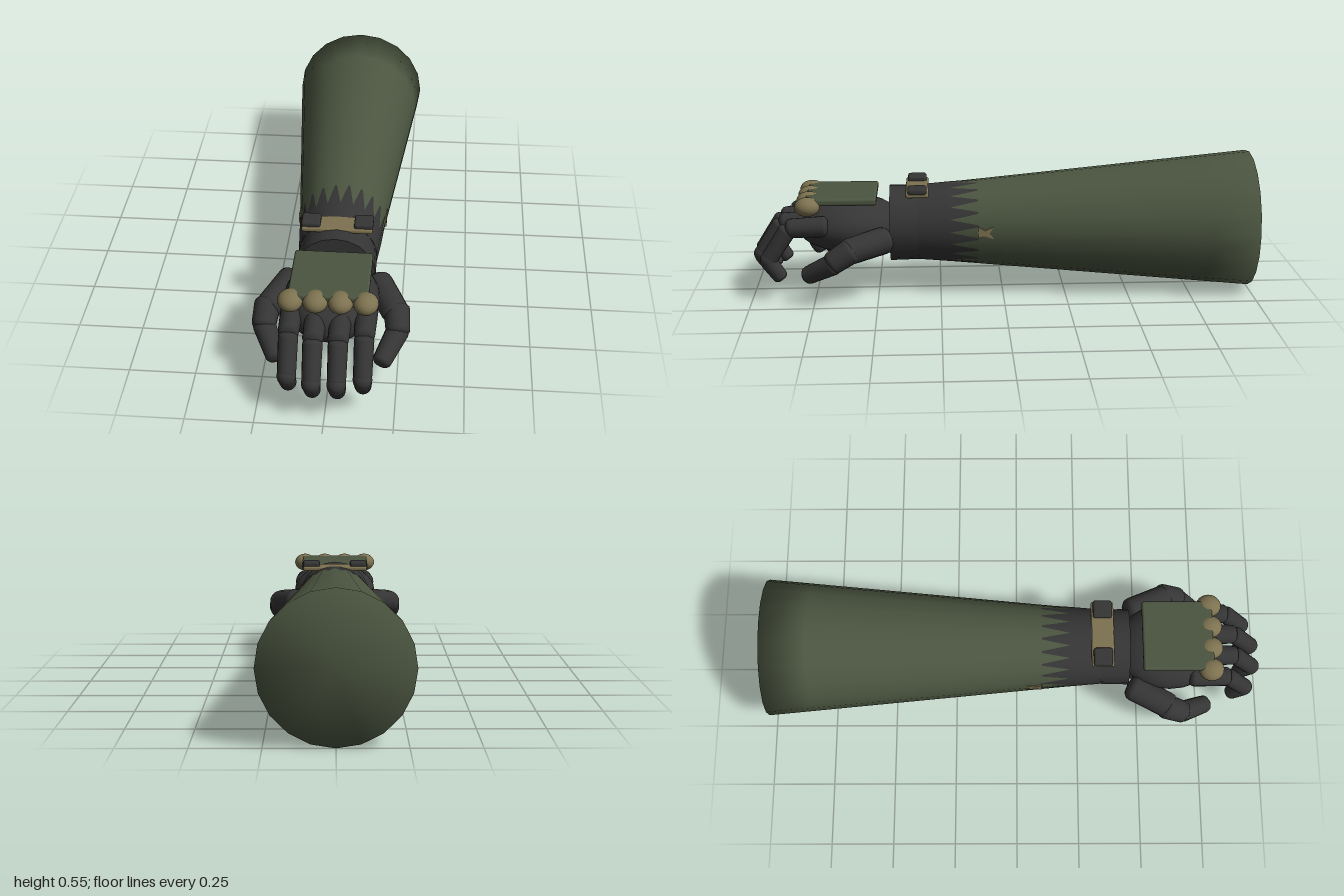
import * as THREE from 'three';
import { RoundedBoxGeometry } from 'three/addons/geometries/RoundedBoxGeometry.js';

const mat = (name, color) => {
  const m = new THREE.MeshStandardMaterial({ color });
  m.name = name;
  return m;
};

export function createModel() {
  const olive = mat('olive', 0x4b5540);
  const dark = mat('charcoal', 0x353535);
  const khaki = mat('khaki', 0x7d7250);
  const model = new THREE.Group();
  model.name = 'armouredArm';
  const AXIS_Y = 0.275;

  const add = (name, geometry, material, x = 0, y = 0, z = 0, parent = model) => {
    const mesh = new THREE.Mesh(geometry, material);
    mesh.name = name;
    mesh.position.set(x, y, z);
    parent.add(mesh);
    return mesh;
  };
  const ellipsoid = (rx, ry, rz) => new THREE.SphereGeometry(1, 24, 16).scale(rx, ry, rz);

  // Tapered rounded rod between two points, with slightly domed ends
  const rod = (name, a, b, ra, rb, parent) => {
    const from = new THREE.Vector3(...a), to = new THREE.Vector3(...b);
    const len = from.distanceTo(to);
    const profile = [
      [0, -0.5 * ra], [ra * 0.7, -0.38 * ra], [ra * 0.95, -0.12 * ra], [ra, 0.1 * ra],
      [rb, len - 0.1 * rb], [rb * 0.95, len + 0.12 * rb], [rb * 0.7, len + 0.38 * rb], [0, len + 0.5 * rb],
    ].map(([r, y]) => new THREE.Vector2(r, y));
    const mesh = add(name, new THREE.LatheGeometry(profile, 16), dark, ...a, parent);
    mesh.quaternion.setFromUnitVectors(new THREE.Vector3(0, 1, 0), to.sub(from).normalize());
    return mesh;
  };

  // Forearm sleeve: closed at the back, normals blended over the rim
  const sleeve = [[0, -1], [0.275, -1], [0.258, -0.82], [0.171, 0.1], [0.1597, 0.22]];
  add('sleeve', new THREE.LatheGeometry(sleeve.map(([r, y]) => new THREE.Vector2(r, y)), 20)
    .rotateX(Math.PI / 2), olive, 0, AXIS_Y, 0);

  // Glove cuff: its corners break through the sleeve as pointed teeth
  const ring = (name, zBack, rBack, zFront, rFront, turn) => add(name,
    new THREE.CylinderGeometry(rFront, rBack, zFront - zBack, 20, 1, false, turn)
      .rotateX(Math.PI / 2), dark, 0, AXIS_Y, (zBack + zFront) / 2);
  ring('cuffTeeth', 0.1, 0.1695, 0.22, 0.162, Math.PI / 20);
  ring('cuff', 0.22, 0.162, 0.335, 0.152, Math.PI / 20);
  ring('wristBand', 0.33, 0.15, 0.45, 0.153, 0);

  // Notched khaki tab on each side of the sleeve
  const tab = new THREE.Shape([[-0.1, 0.255], [-0.1, 0.3], [-0.075, 0.285], [-0.04, 0.3],
    [-0.055, 0.275], [-0.04, 0.25], [-0.075, 0.262]].map((p) => new THREE.Vector2(...p)));
  for (const s of [1, -1]) {
    add(s > 0 ? 'leftSleeveTab' : 'rightSleeveTab',
      new THREE.ExtrudeGeometry(tab, { depth: 0.009, bevelEnabled: false }).rotateY(Math.PI / 2),
      khaki, s * 0.171 - 0.0045, 0, 0);
  }

  // Wrist strap with two buckles
  add('wristStrap', new RoundedBoxGeometry(0.27, 0.02, 0.09, 3, 0.008), khaki, 0, 0.419, 0.34);
  for (const s of [1, -1]) {
    add(s > 0 ? 'leftBuckle' : 'rightBuckle',
      new RoundedBoxGeometry(0.072, 0.028, 0.075, 3, 0.01), dark, s * 0.1, 0.433, 0.34);
  }

  // Palm, pad and back-of-hand plate
  add('palm', ellipsoid(0.178, 0.112, 0.215), dark, 0, 0.278, 0.615);
  add('palmPad', ellipsoid(0.15, 0.045, 0.15), dark, 0, 0.188, 0.57);
  add('handPlate', new RoundedBoxGeometry(0.29, 0.028, 0.28, 3, 0.01), olive, 0, 0.398, 0.64);

  // Knuckles and curled fingers
  [-0.135, -0.045, 0.045, 0.135].forEach((x, i) => {
    const back = Math.abs(x) > 0.1 ? 0.033 : 0;
    add('knuckle' + (i + 1), ellipsoid(0.046, 0.038, 0.05), khaki, x, 0.381, 0.77);
    const finger = new THREE.Group();
    finger.name = 'finger' + (i + 1);
    finger.position.set(x, 0, -back);
    model.add(finger);
    rod('fingerBase', [0, 0.3, 0.74], [0, 0.295, 0.875], 0.042, 0.038, finger);
    rod('fingerMiddle', [0, 0.285, 0.885], [0, 0.175, 0.957], 0.036, 0.034, finger);
    rod('fingerTip', [0, 0.16, 0.962], [0, 0.096, 0.918], 0.034, 0.03, finger);
    add('fingerJoint', ellipsoid(0.035, 0.035, 0.035), dark, 0, 0.166, 0.962, finger);
  });

  // A mirrored thumb on each side of the hand
  for (const s of [1, -1]) {
    const thumb = new THREE.Group();
    thumb.name = s > 0 ? 'leftThumb' : 'rightThumb';
    model.add(thumb);
    rod('thumbBase', [s * 0.165, 0.25, 0.47], [s * 0.235, 0.225, 0.61], 0.054, 0.052, thumb);
    rod('thumbMiddle', [s * 0.24, 0.23, 0.6], [s * 0.248, 0.185, 0.67], 0.05, 0.046, thumb);
    rod('thumbTip', [s * 0.248, 0.182, 0.665], [s * 0.195, 0.12, 0.77], 0.043, 0.036, thumb);
  }

  return model;
}
